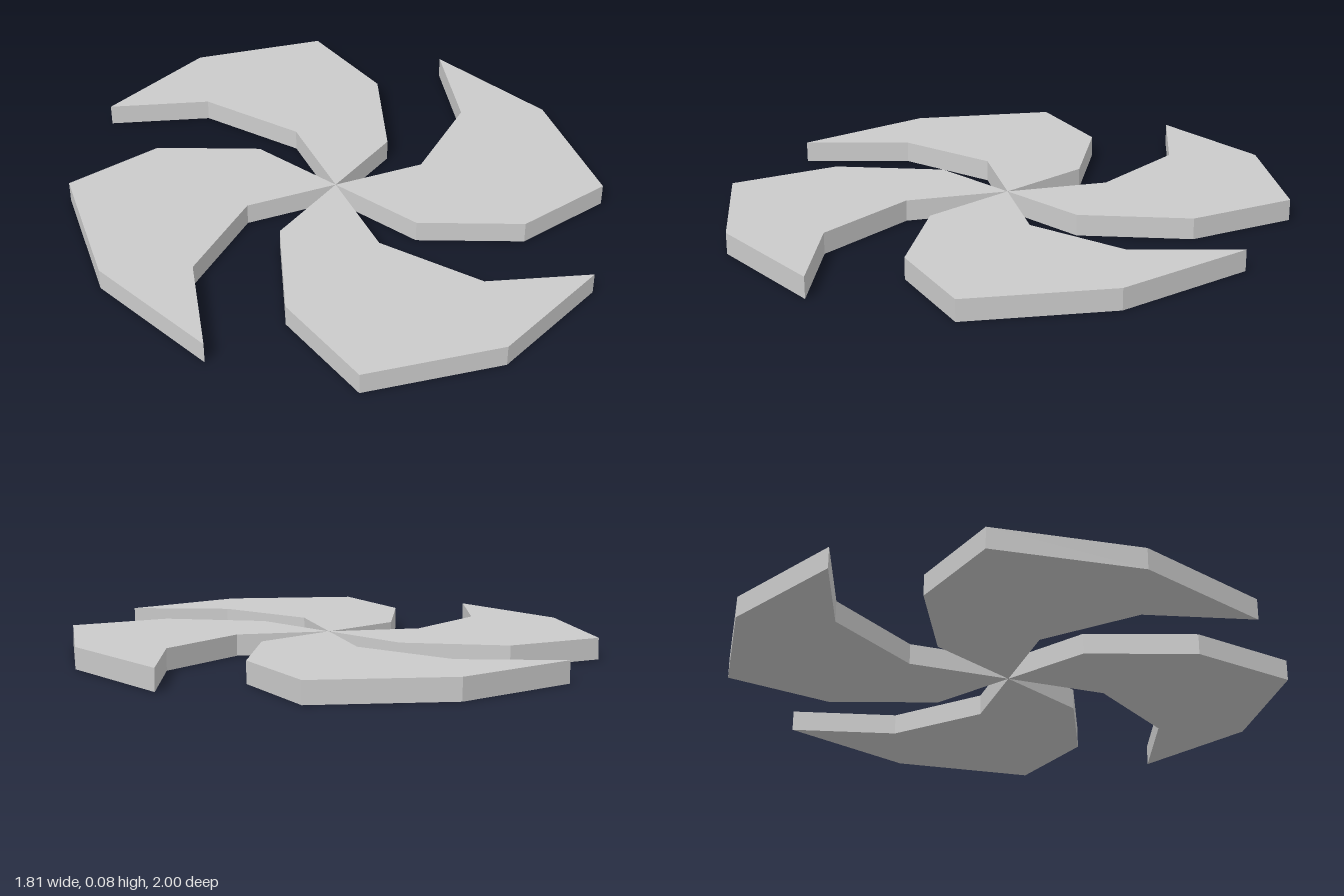
import * as THREE from 'three';

const THICKNESS = 0.075;

// Blade outlines seen from above as [x, z], starting at the hub point
const longBlade = [
  [0, 0], [0.315, -0.09], [0.54, -0.415], [0.56, -0.81],
  [0.12, -1], [-0.345, -0.92], [-0.04, -0.72], [0.095, -0.35],
];
const wideBlade = [
  [0, 0], [0.075, 0.345], [0.36, 0.583], [0.725, 0.595],
  [0.905, 0.113], [0.847, -0.4], [0.655, -0.065], [0.315, 0.095],
];

// Flat slab lying on the ground, cut to the outline
function bladeGeometry(outline) {
  const shape = new THREE.Shape(outline.map(([x, z]) => new THREE.Vector2(x, -z)));
  const geometry = new THREE.ExtrudeGeometry(shape, { depth: THICKNESS, bevelEnabled: false });
  return geometry.rotateX(-Math.PI / 2);
}

export function createModel() {
  const model = new THREE.Group();
  model.name = 'pinwheel';
  const material = new THREE.MeshStandardMaterial({ color: 0xcccccc, flatShading: true });

  // Each blade is repeated half a turn around the hub
  const blades = { longBlade, wideBlade };
  for (const [name, outline] of Object.entries(blades)) {
    const geometry = bladeGeometry(outline);
    for (let i = 0; i < 2; i++) {
      const blade = new THREE.Mesh(geometry, material);
      blade.name = `${name}${i + 1}`;
      blade.rotation.y = i * Math.PI;
      model.add(blade);
    }
  }
  return model;
}
